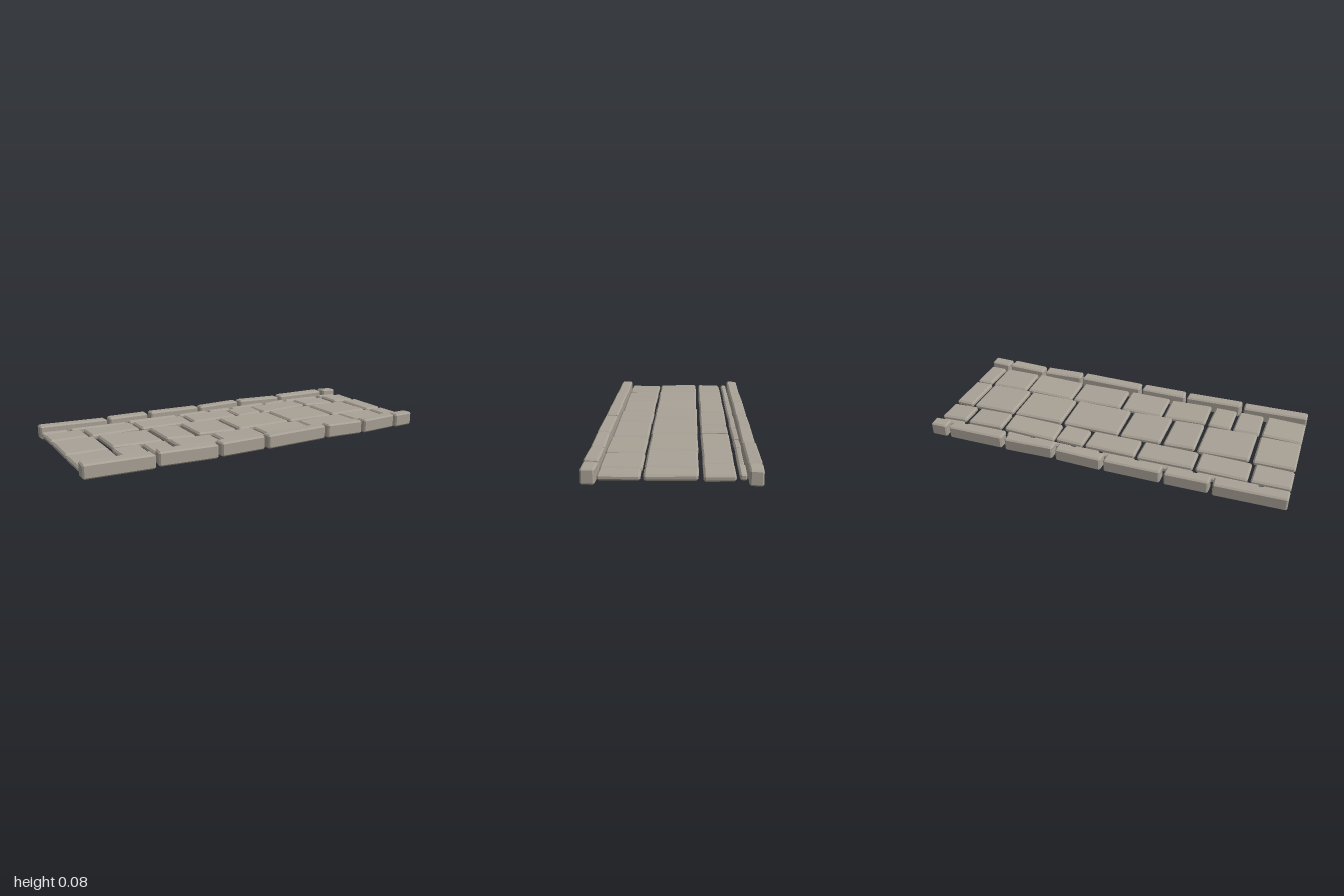
import * as THREE from 'three';
import { ConvexGeometry } from 'three/addons/geometries/ConvexGeometry.js';

// Each row: z range, y range, bevel, and the x position of every joint between stones
const ROWS = [
  { name: 'backCurb', z: [-0.404, -0.334], y: [0.006, 0.081], bevel: 0.008,
    joints: [-0.612, -0.358, -0.03, 0.248, 0.552, 0.893] },
  { name: 'fillerStone', z: [-0.33, -0.295], y: [0.026, 0.056], bevel: 0.007, end: 0.975,
    joints: [-0.852, -0.51, -0.192, 0.012, 0.172, 0.412, 0.572, 0.832] },
  { name: 'backPaver', z: [-0.283, -0.134], y: [0.027, 0.058], bevel: 0.009,
    joints: [-0.785, -0.497, -0.178, 0.122, 0.292, 0.612, 0.838] },
  { name: 'middlePaver', z: [-0.12, 0.126], y: [0.027, 0.058], bevel: 0.009,
    joints: [-0.767, -0.467, -0.275, -0.027, 0.318, 0.622, 0.886] },
  { name: 'frontPaver', z: [0.134, 0.329], y: [0.027, 0.056], bevel: 0.009,
    joints: [-0.772, -0.61, -0.465, -0.203, 0.052, 0.362, 0.662, 0.895] },
  { name: 'frontCurb', z: [0.332, 0.404], y: [0.006, 0.081], bevel: 0.008,
    joints: [-0.627, -0.287, -0.007, 0.382, 0.635, 0.875] },
];
const GAP = 0.006;

function seeded(seed) {
  return () => {
    seed = (seed * 16807) % 2147483647;
    return seed / 2147483647;
  };
}

// Bevelled, slightly irregular stone: three points at each of the eight corners
function stoneGeometry(x0, x1, y0, y1, z0, z1, bevel, rand) {
  const points = [];
  const tiltX = (rand() - 0.5) * 0.008;
  const tiltZ = (rand() - 0.5) * 0.005;
  for (const sx of [-1, 1]) {
    for (const sz of [-1, 1]) {
      // Plan skew is shared by the top and bottom corners, so the sides stay flat
      const inX = Math.abs(sx < 0 ? x0 : x1) > 0.99 ? 0 : rand() * 0.006;
      const inZ = rand() * 0.004;
      const x = (sx < 0 ? x0 : x1) - sx * inX;
      const z = (sz < 0 ? z0 : z1) - sz * inZ;
      for (const sy of [-1, 1]) {
        const y = (sy < 0 ? y0 : y1) + sx * tiltX + sz * tiltZ * 0.5;
        points.push(
          new THREE.Vector3(x, y - sy * bevel, z - sz * bevel),
          new THREE.Vector3(x - sx * bevel, y, z - sz * bevel),
          new THREE.Vector3(x - sx * bevel, y - sy * bevel, z));
      }
    }
  }
  return new ConvexGeometry(points);
}

export function createModel() {
  const group = new THREE.Group();
  group.name = 'stonePath';
  const stone = new THREE.MeshStandardMaterial({ color: 0xa8a196 });
  stone.name = 'warm grey stone';
  const rand = seeded(4127);

  for (const row of ROWS) {
    const rowGroup = new THREE.Group();
    rowGroup.name = row.name + 'Row';
    const edges = [-1 - GAP, ...row.joints, (row.end ?? 1) + GAP];
    for (let i = 0; i < edges.length - 1; i++) {
      const mesh = new THREE.Mesh(
        stoneGeometry(edges[i] + GAP, edges[i + 1] - GAP, ...row.y, ...row.z, row.bevel, rand), stone);
      mesh.name = row.name + (i + 1);
      rowGroup.add(mesh);
    }
    group.add(rowGroup);
  }
  return group;
}
